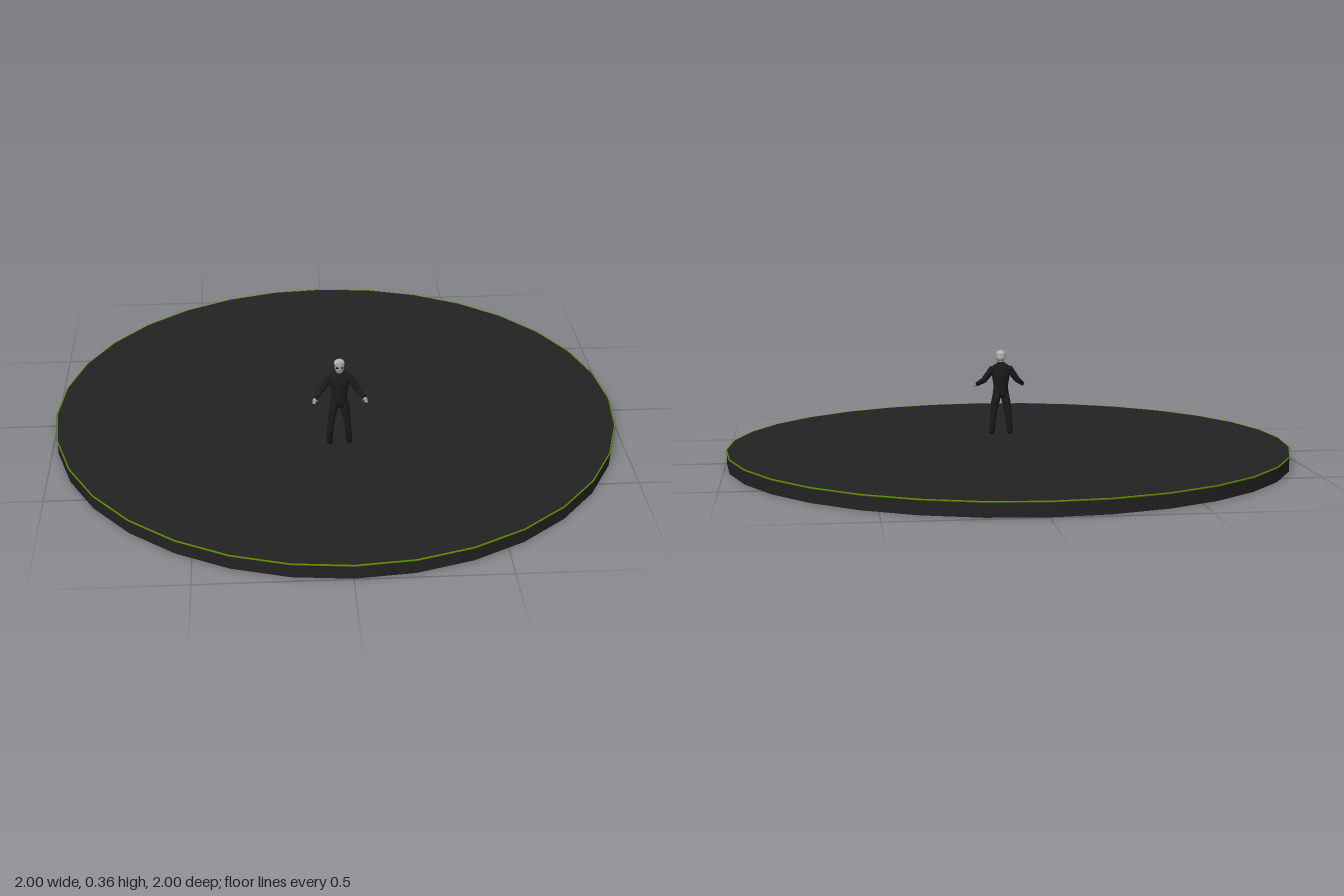
import * as THREE from 'three';

const mat = (name, color, extra = {}) => Object.assign(new THREE.MeshStandardMaterial({ color, ...extra }), { name });

export function createModel() {
  const stone = mat('dark floor', 0x222222);
  const green = mat('green trim', 0x5c8a00);
  const suit = mat('black suit', 0x1a1a1c);
  const black = mat('black leather', 0x101010);
  const skin = mat('pale grey skin', 0x9c9a98);
  const hair = mat('light grey hair', 0xb4b4b4);

  const model = new THREE.Group();
  const add = (parent, name, geo, m, x = 0, y = 0, z = 0) => {
    const mesh = new THREE.Mesh(geo, m);
    mesh.name = name;
    mesh.position.set(x, y, z);
    parent.add(mesh);
    return mesh;
  };
  const ball = (rx, ry, rz) => new THREE.SphereGeometry(1, 16, 12).scale(rx, ry, rz);

  // Closed body from horizontal ellipses, bottom to top: [x, y, z, rx, rz]
  const loft = (rings, n = 16) => {
    const pos = [], idx = [];
    const all = [[...rings[0].slice(0, 3), 0, 0], ...rings, [...rings.at(-1).slice(0, 3), 0, 0]];
    for (const [x, y, z, rx, rz] of all)
      for (let i = 0; i < n; i++) {
        const a = i / n * Math.PI * 2;
        pos.push(x + Math.sin(a) * rx, y, z + Math.cos(a) * rz);
      }
    for (let r = 0; r < all.length - 1; r++)
      for (let i = 0; i < n; i++) {
        const a = r * n + i, b = r * n + (i + 1) % n;
        idx.push(a, b, b + n, a, b + n, a + n);
      }
    const g = new THREE.BufferGeometry();
    g.setAttribute('position', new THREE.Float32BufferAttribute(pos, 3));
    g.setIndex(idx);
    g.computeVertexNormals();
    return g;
  };

  // Tapered limb between two points
  const limb = (parent, name, a, b, ra, rb, m) => {
    const p = new THREE.Vector3(...a), q = new THREE.Vector3(...b);
    const mesh = add(parent, name, new THREE.CylinderGeometry(rb, ra, p.distanceTo(q), 12), m);
    mesh.position.copy(p).add(q).multiplyScalar(0.5);
    mesh.quaternion.setFromUnitVectors(new THREE.Vector3(0, 1, 0), q.sub(p).normalize());
  };

  // Round floor with a thin trim on its upper edge
  add(model, 'floorDisc', new THREE.CylinderGeometry(0.997, 0.997, 0.05, 32), stone, 0, 0.025, 0);
  add(model, 'edgeTrim', new THREE.TorusGeometry(0.997, 0.003, 6, 32).rotateX(Math.PI / 2), green, 0, 0.048, 0);

  // Standing figure, local origin between the feet
  const figure = new THREE.Group();
  figure.name = 'figure';
  figure.position.set(0, 0.05, 0.233);
  model.add(figure);

  add(figure, 'jacket', loft([
    [0, 0.135, 0.001, 0.030, 0.019], [0, 0.155, 0.001, 0.029, 0.020], [0, 0.180, 0, 0.027, 0.020],
    [0, 0.210, 0, 0.032, 0.023], [0, 0.235, -0.002, 0.036, 0.023], [0, 0.252, -0.003, 0.034, 0.018],
    [0, 0.262, -0.003, 0.018, 0.013], [0, 0.268, -0.002, 0.011, 0.011]]), suit);
  limb(figure, 'neck', [0, 0.258, -0.001], [0, 0.278, 0.003], 0.0095, 0.009, skin);

  // Head, hair and face
  add(figure, 'head', loft([
    [0, 0.265, 0.009, 0.007, 0.007], [0, 0.271, 0.007, 0.013, 0.014], [0, 0.283, 0.004, 0.016, 0.018],
    [0, 0.295, 0.003, 0.017, 0.019], [0, 0.304, 0.002, 0.014, 0.016], [0, 0.309, 0.001, 0.006, 0.008]]), skin);
  add(figure, 'hairCap', ball(0.0185, 0.014, 0.019), hair, 0, 0.297, -0.001);
  add(figure, 'hairBack', ball(0.0165, 0.016, 0.012), hair, 0, 0.287, -0.008);
  add(figure, 'nose', ball(0.0025, 0.004, 0.004), skin, 0, 0.283, 0.022);
  add(figure, 'browBand', new THREE.BoxGeometry(0.024, 0.004, 0.006), black, 0, 0.289, 0.018);

  for (const s of [1, -1]) {
    const side = s > 0 ? 'left' : 'right';
    // Leg and shoe
    add(figure, side + 'Leg', loft([
      [s * 0.033, 0.010, -0.004, 0.011, 0.013], [s * 0.031, 0.040, -0.005, 0.011, 0.013],
      [s * 0.027, 0.080, -0.001, 0.0125, 0.014], [s * 0.020, 0.120, 0, 0.016, 0.018],
      [s * 0.014, 0.150, 0, 0.016, 0.018]], 12), suit);
    add(figure, side + 'Shoe', loft([
      [s * 0.034, 0, 0.008, 0.010, 0.026], [s * 0.034, 0.007, 0.007, 0.010, 0.025],
      [s * 0.033, 0.014, -0.001, 0.009, 0.015], [s * 0.033, 0.020, -0.004, 0.008, 0.011]], 12), black);
    // Arm held out and forward
    const shoulder = [s * 0.033, 0.240, -0.004], elbow = [s * 0.062, 0.200, 0.005], wrist = [s * 0.084, 0.182, 0.034];
    add(figure, side + 'Shoulder', ball(0.0135, 0.0135, 0.0135), suit, ...shoulder);
    limb(figure, side + 'UpperArm', shoulder, elbow, 0.0135, 0.011, suit);
    add(figure, side + 'Elbow', ball(0.011, 0.011, 0.011), suit, ...elbow);
    limb(figure, side + 'Forearm', elbow, wrist, 0.011, 0.008, suit);
    // Hand with fingers and thumb
    add(figure, side + 'Hand', ball(0.0065, 0.006, 0.008), skin, s * 0.087, 0.179, 0.040);
    for (let i = 0; i < 4; i++)
      limb(figure, side + 'Finger', [s * (0.084 + i * 0.0024), 0.178, 0.044],
        [s * (0.085 + i * 0.0028), 0.171, 0.053 - Math.abs(i - 1.5) * 0.001], 0.0019, 0.0014, skin);
    limb(figure, side + 'Thumb', [s * 0.082, 0.180, 0.040], [s * 0.077, 0.176, 0.047], 0.0022, 0.0015, skin);
  }
  return model;
}
